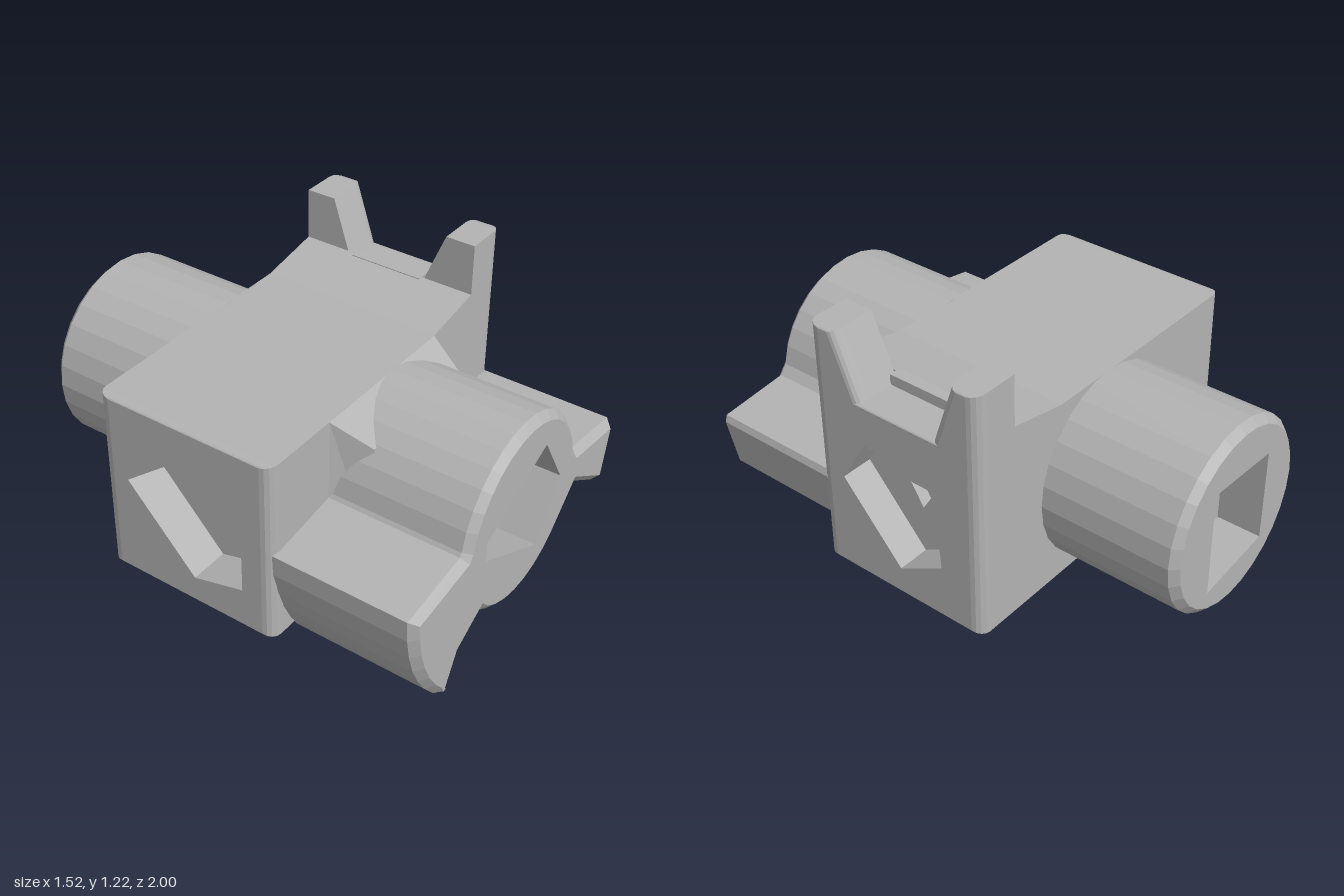
import * as THREE from 'three';

const V = (x, y) => new THREE.Vector2(x, y);
const toPoints = list => list.map(([x, y]) => V(x, y));
const CY = 0.545; // height of the shaft axis

// points on a circle about the shaft axis, angles in degrees
function arc(r, from, to, n) {
  return Array.from({ length: n + 1 }, (_, i) => {
    const a = THREE.MathUtils.degToRad(from + (to - from) * i / n);
    return [r * Math.cos(a), CY + r * Math.sin(a)];
  });
}

// mitred inward offset of a counter-clockwise outline
function inset(pts, d, yScale) {
  const n = pts.length;
  return pts.map((p, i) => {
    const e1 = p.clone().sub(pts[(i + n - 1) % n]).normalize();
    const e2 = pts[(i + 1) % n].clone().sub(p).normalize();
    const k = d / Math.max(0.3, 1 + e1.dot(e2));
    return V(p.x - (e1.y + e2.y) * k, p.y + (e1.x + e2.x) * k * yScale);
  });
}

// strip of faces between two matching rings
function wall(out, a, za, b, zb) {
  a.forEach((p, i) => {
    const j = (i + 1) % a.length;
    const q = a[j], r = b[j], s = b[i];
    out.push(p.x, p.y, za, q.x, q.y, za, r.x, r.y, zb);
    out.push(p.x, p.y, za, r.x, r.y, zb, s.x, s.y, zb);
  });
}

// flat face with an optional hole
function cap(out, pts, z, hole, backward = false) {
  const shape = new THREE.Shape(pts);
  if (hole) shape.holes.push(new THREE.Path(hole));
  const pos = new THREE.ShapeGeometry(shape).toNonIndexed().attributes.position;
  for (let i = 0; i < pos.count; i += 3) {
    for (const k of backward ? [2, 1, 0] : [0, 1, 2]) out.push(pos.getX(i + k), pos.getY(i + k), z);
  }
}

function toGeometry(out) {
  const g = new THREE.BufferGeometry();
  g.setAttribute('position', new THREE.Float32BufferAttribute(out, 3));
  g.computeVertexNormals();
  return g;
}

// prism along +z with a bevelled front edge and a blind pocket in the front face
function pocketed({ outline, pocket, z0, z1, bevel, steps = 1, yScale = 1, depth, pit }) {
  const out = [];
  const ccw = list => {
    const p = toPoints(list);
    return THREE.ShapeUtils.isClockWise(p) ? p.reverse() : p;
  };
  const base = ccw(outline), hole = ccw(pocket);
  let ring = base, z = z1 - bevel;
  cap(out, base, z0, null, true);
  wall(out, base, z0, base, z);
  for (let s = 1; s <= steps; s++) {
    const a = s / steps * Math.PI / 2;
    const next = inset(base, bevel * (1 - Math.cos(a)), yScale);
    const nz = z1 - bevel + bevel * Math.sin(a);
    wall(out, ring, z, next, nz);
    ring = next;
    z = nz;
  }
  cap(out, ring, z1, hole);
  wall(out, hole, z1, hole, z1 - depth);
  const pitRing = pit && ccw(pit);
  cap(out, hole, z1 - depth, pitRing);
  if (pitRing) {
    wall(out, pitRing, z1 - depth, pitRing, z1 - depth - 0.05);
    cap(out, pitRing, z1 - depth - 0.05);
  }
  return toGeometry(out);
}

export function createModel() {
  const group = new THREE.Group();
  const grey = new THREE.MeshStandardMaterial({ color: 0xb3b3b3 });
  grey.name = 'grey';
  const add = (name, geometry, turn = 0) => {
    const mesh = new THREE.Mesh(geometry, grey);
    mesh.name = name;
    mesh.rotation.y = turn;
    group.add(mesh);
    return mesh;
  };

  // middle of the body, with a rising top and a slightly sagging front underside
  const core = new THREE.ExtrudeGeometry(new THREE.Shape(toPoints([
    [-0.56, 0.14], [-0.41, 0.14], [0.29, 0.14], [0.56, 0.14],
    [0.56, 1.0], [0.29, 0.948], [-0.56, 0.945],
  ])), { depth: 0.8, bevelEnabled: false });
  core.translate(0, 0, -0.4);
  const pos = core.attributes.position;
  for (let i = 0; i < pos.count; i++) {
    if (pos.getZ(i) > 0 && pos.getY(i) < 0.2 && pos.getX(i) < 0) pos.setY(i, 0.108);
  }
  core.computeVertexNormals();
  add('bodyCore', core);

  // right-hand end with two upright prongs
  add('prongedEnd', pocketed({
    outline: [[-0.4, 0.14], [0.4, 0.14], [0.4, 1.22], [0.27, 1.22],
      [0.18, 0.955], [-0.16, 0.955], [-0.27, 1.22], [-0.4, 1.22]],
    pocket: [[-0.275, 0.575], [-0.155, 0.775], [0.18, 0.755], [0.21, 0.38], [0, 0.265]],
    pit: [[-0.06, 0.57], [0.06, 0.57], [0, 0.475]],
    z0: 0.56, z1: 0.76, bevel: 0.05, steps: 4, yScale: 0.2, depth: 0.14,
  }), Math.PI / 2);
  add('notchLedge', new THREE.BoxGeometry(0.05, 0.06, 0.33)).position.set(0.567, 0.97, 0);

  // plain end
  add('plainEnd', pocketed({
    outline: [[-0.4, 0.14], [0.4, 0.14], [0.4, 0.945], [-0.4, 0.945]],
    pocket: [[-0.28, 0.59], [0, 0.81], [0.26, 0.7], [0.26, 0.32], [0.03, 0.26]],
    z0: 0.56, z1: 0.76, bevel: 0.05, steps: 4, yScale: 0.2, depth: 0.17,
  }), -Math.PI / 2);

  // front shaft with two wings
  add('wingedShaft', pocketed({
    outline: [
      ...arc(0.405, 10, 170, 14), [-0.41, 0.6], ...arc(0.745, 180, 224, 6),
      [-0.515, 0.01], [-0.5, 0.002], [-0.485, 0.012], [-0.41, 0.165], [-0.27, 0.25],
      ...arc(0.405, 233, 315, 7), [0.43, 0.405], [0.655, 0.27], [0.68, 0.268], [0.7, 0.29],
      [0.745, 0.51], [0.735, 0.54], [0.43, 0.575],
    ],
    pocket: [[0.28, 0.545], [0.13, 0.785], [-0.27, 0.59], [-0.27, 0.5], [0.13, 0.3]],
    z0: 0.39, z1: 1, bevel: 0.032, depth: 0.2,
  }));

  // back shaft
  add('backShaft', pocketed({
    outline: arc(0.405, 0, 360, 28).slice(0, -1),
    pocket: [[-0.17, 0.75], [0.19, 0.73], [0.19, 0.33], [-0.17, 0.29]],
    z0: 0.39, z1: 1, bevel: 0.032, depth: 0.19,
  }), Math.PI);

  // tapered collar where the winged shaft meets the body
  const collar = [];
  wall(collar,
    toPoints([[-0.41, 0.11], [0.29, 0.14], [0.29, 0.948], [-0.41, 0.945]]), 0.4,
    toPoints([[-0.27, 0.25], [0.29, 0.26], [0.29, 0.82], [-0.31, 0.82]]), 0.53);
  add('collar', toGeometry(collar));

  return group;
}
